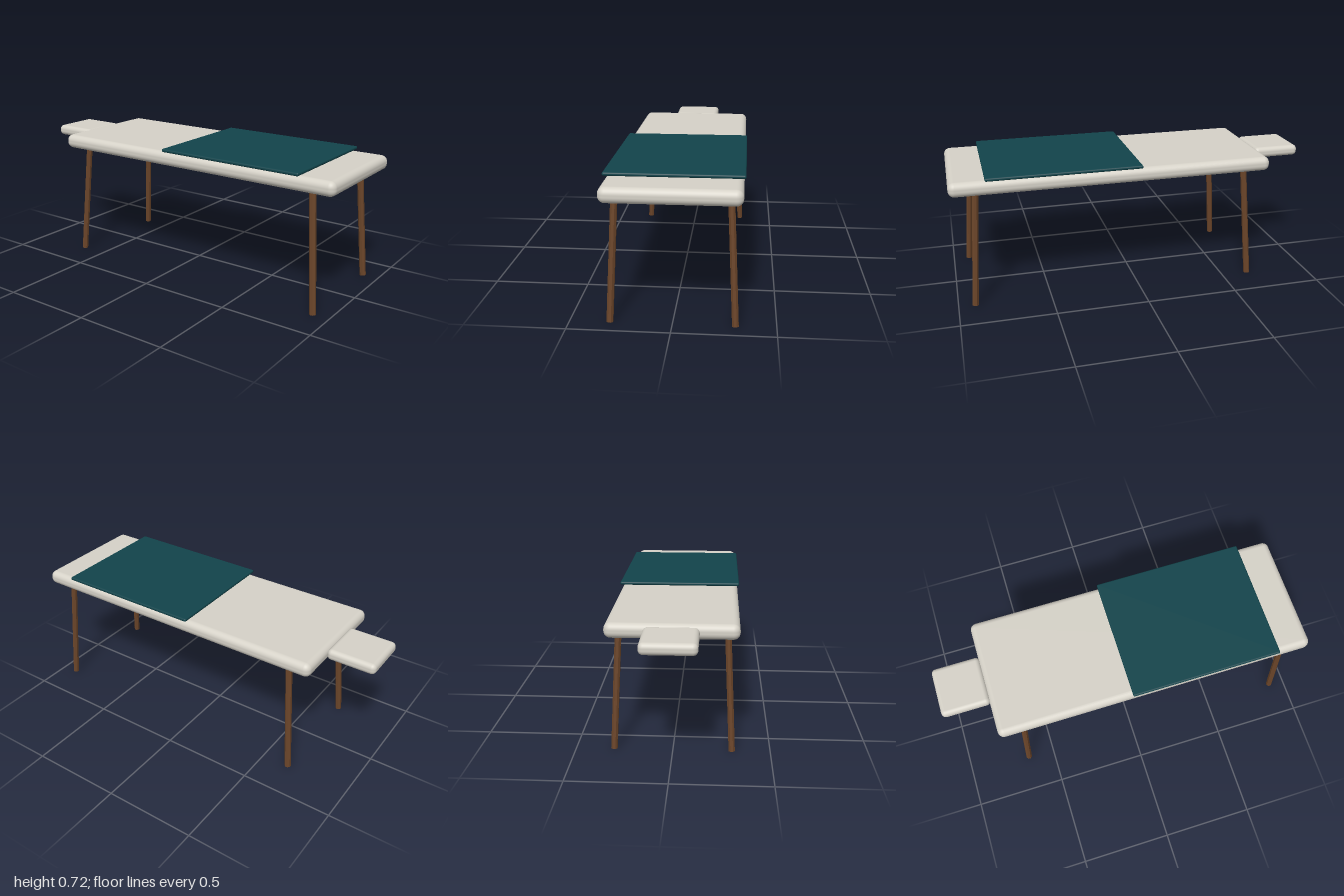
import * as THREE from 'three';
import { RoundedBoxGeometry } from 'three/addons/geometries/RoundedBoxGeometry.js';

export function createModel() {
  const model = new THREE.Group();
  const upholstery = new THREE.MeshStandardMaterial({ color: 0xd6d2c8 });
  upholstery.name = 'paleUpholstery';
  const cloth = new THREE.MeshStandardMaterial({ color: 0x12444b });
  cloth.name = 'tealCloth';
  const wood = new THREE.MeshStandardMaterial({ color: 0x6b4529, flatShading: true });
  wood.name = 'brownWood';

  // Soft-edged slab given by its extents
  function slab(name, material, halfWidth, y0, y1, z0, z1, radius) {
    const geometry = new RoundedBoxGeometry(halfWidth * 2, y1 - y0, z1 - z0, 4, radius);
    const mesh = new THREE.Mesh(geometry, material);
    mesh.name = name;
    mesh.position.set(0, (y0 + y1) / 2, (z0 + z1) / 2);
    model.add(mesh);
  }
  slab('mattress', upholstery, 0.33, 0.625, 0.703, -0.742, 1, 0.034);
  slab('headrest', upholstery, 0.136, 0.636, 0.696, -1, -0.735, 0.025);
  slab('blanket', cloth, 0.338, 0.705, 0.723, -0.01, 0.815, 0.008);

  // Splayed legs
  const up = new THREE.Vector3(0, 1, 0);
  function leg(name, side, zFoot, zTop) {
    const foot = new THREE.Vector3(side * 0.303, 0.002, zFoot);
    const top = new THREE.Vector3(side * 0.272, 0.645, zTop);
    const axis = top.clone().sub(foot);
    const geometry = new THREE.CylinderGeometry(0.0175, 0.0175, axis.length(), 8);
    geometry.rotateY(Math.PI / 8);
    const mesh = new THREE.Mesh(geometry, wood);
    mesh.name = name;
    mesh.position.copy(foot).add(top).multiplyScalar(0.5);
    mesh.quaternion.setFromUnitVectors(up, axis.normalize());
    model.add(mesh);
  }
  for (const [label, side] of [['Left', 1], ['Right', -1]]) {
    leg('front' + label + 'Leg', side, 0.911, 0.863);
    leg('back' + label + 'Leg', side, -0.651, -0.603);
  }
  return model;
}
